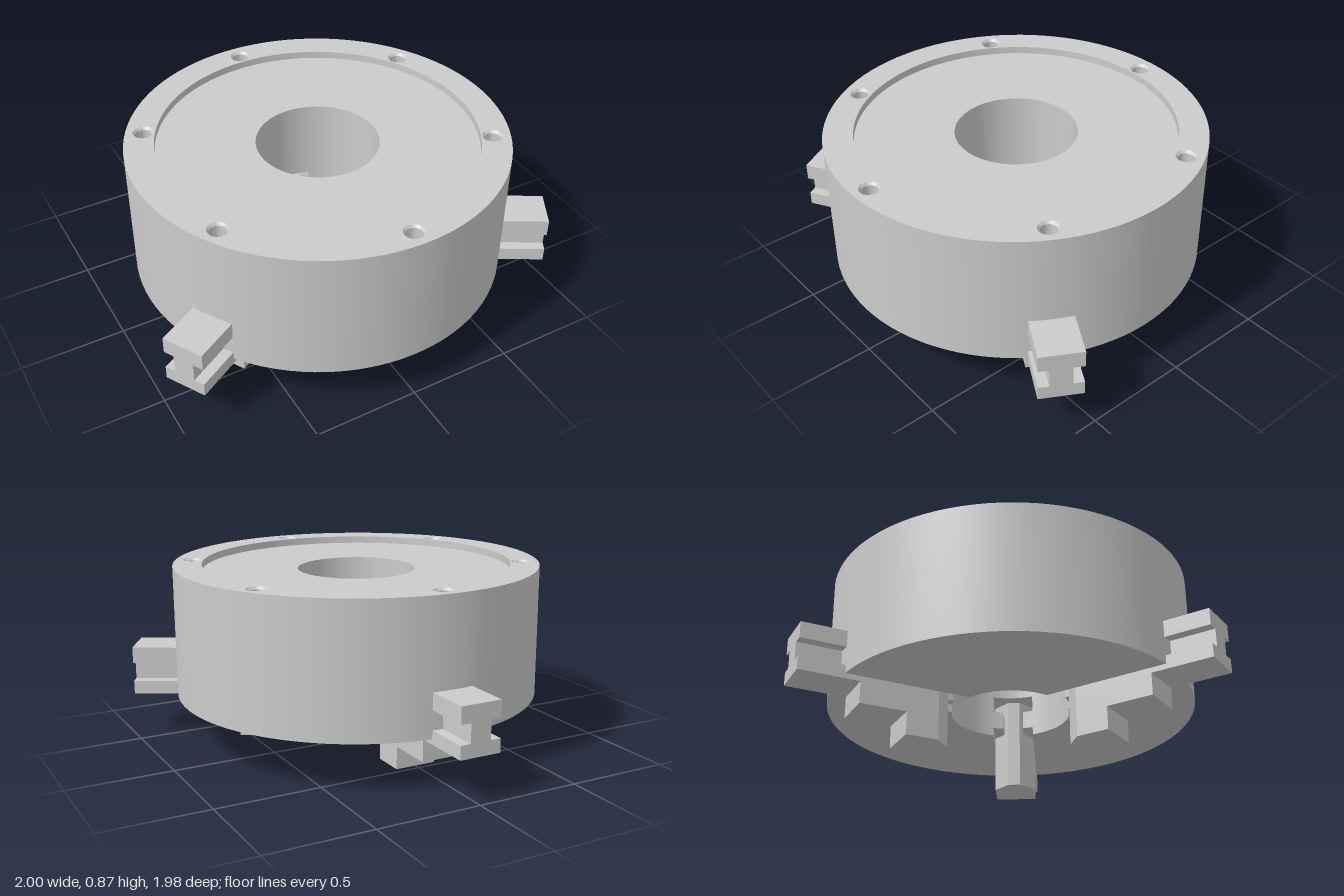
import * as THREE from 'three';
import { mergeGeometries, toCreasedNormals } from 'three/addons/utils/BufferGeometryUtils.js';

const BODY_R = 0.883, BORE_R = 0.285, RECESS_R = 0.745;
const BOLT_R = 0.8, HOLE_R = 0.048;
const JAW_ANGLES = [90, 210, 330].map(THREE.MathUtils.degToRad);

export function createModel() {
  const material = new THREE.MeshStandardMaterial({ color: 0xcccccc });
  const group = new THREE.Group();
  group.name = 'threeJawChuck';
  group.position.z = 0.106;

  const add = (name, geometry, parent = group) => {
    const mesh = new THREE.Mesh(geometry, material);
    mesh.name = name;
    parent.add(mesh);
    return mesh;
  };

  // Plan shape extruded upward between two heights
  const slab = (shape, y0, y1) => {
    const g = new THREE.ExtrudeGeometry(shape, { depth: y1 - y0, bevelEnabled: false, curveSegments: 48 });
    return g.rotateX(-Math.PI / 2).translate(0, y0, 0);
  };
  const circle = (r, x = 0, y = 0) => new THREE.Path().absarc(x, y, r, 0, Math.PI * 2, false);
  const disc = (...holes) => {
    const s = new THREE.Shape();
    s.absarc(0, 0, BODY_R, 0, Math.PI * 2, false);
    s.holes.push(...holes);
    return s;
  };

  // Bore outline with three jaw slots of the given half width
  const slottedBore = (hw) => {
    const path = new THREE.Path();
    const d = Math.asin(hw / BORE_R);
    JAW_ANGLES.forEach((a) => {
      const next = a + Math.PI * 2 / 3;
      const c = Math.cos(next), s = Math.sin(next);
      path.absarc(0, 0, BORE_R, a + d, next - d, false);
      path.lineTo(0.5 * c + hw * s, 0.5 * s - hw * c);
      path.lineTo(0.5 * c - hw * s, 0.5 * s + hw * c);
    });
    path.closePath();
    return path;
  };

  // Chuck body: slotted lower layers, solid middle, drilled top and raised rim
  const bolts = Array.from({ length: 6 }, (_, i) => {
    const a = Math.PI / 2 + i * Math.PI / 3;
    return [BOLT_R * Math.cos(a), BOLT_R * Math.sin(a)];
  });
  const boltHoles = () => bolts.map(([x, y]) => circle(HOLE_R, x, y));
  const body = mergeGeometries([
    slab(disc(slottedBore(0.1)), 0.24, 0.28),
    slab(disc(slottedBore(0.05)), 0.28, 0.37),
    slab(disc(slottedBore(0.1)), 0.37, 0.45),
    slab(disc(circle(BORE_R)), 0.45, 0.68),
    slab(disc(circle(BORE_R), ...boltHoles()), 0.68, 0.835),
    slab(disc(circle(RECESS_R), ...boltHoles()), 0.835, 0.87),
  ]);
  add('body', toCreasedNormals(body, 0.5));

  // Chamfered blind bolt holes
  const holeProfile = [[HOLE_R, 0.87], [0.038, 0.858], [0.038, 0.72], [0, 0.7]]
    .map(([x, y]) => new THREE.Vector2(x, y));
  const holeGeometry = toCreasedNormals(new THREE.LatheGeometry(holeProfile, 32), 0.5);
  bolts.forEach(([x, y], i) => add(`boltHole${i + 1}`, holeGeometry).position.set(x, 0, -y));

  // Stepped jaw along +x: bottom, top, outer end, half width
  const TIP = 0.345, FLAT = 0.03;
  const jawLayers = [
    [0, 0.11, 0.577, 0.1],
    [0.11, 0.215, 0.803, 0.1],
    [0.215, 0.28, 1.097, 0.1],
    [0.28, 0.37, 1.097, 0.05],
    [0.37, 0.45, 1.097, 0.1],
  ];
  const jawGeometry = mergeGeometries(jawLayers.map(([y0, y1, outer, hw]) => {
    const shoulder = TIP + (hw - FLAT) * 1.07;
    const outline = [[TIP, -FLAT], [shoulder, -hw], [outer, -hw], [outer, hw], [shoulder, hw], [TIP, FLAT]];
    return slab(new THREE.Shape(outline.map(([x, y]) => new THREE.Vector2(x, y))), y0, y1);
  }));
  ['backJaw', 'rightJaw', 'leftJaw'].forEach((name, i) => {
    add(name, jawGeometry).rotation.y = JAW_ANGLES[i];
  });

  const root = new THREE.Group();
  root.name = 'chuck';
  root.add(group);
  return root;
}
